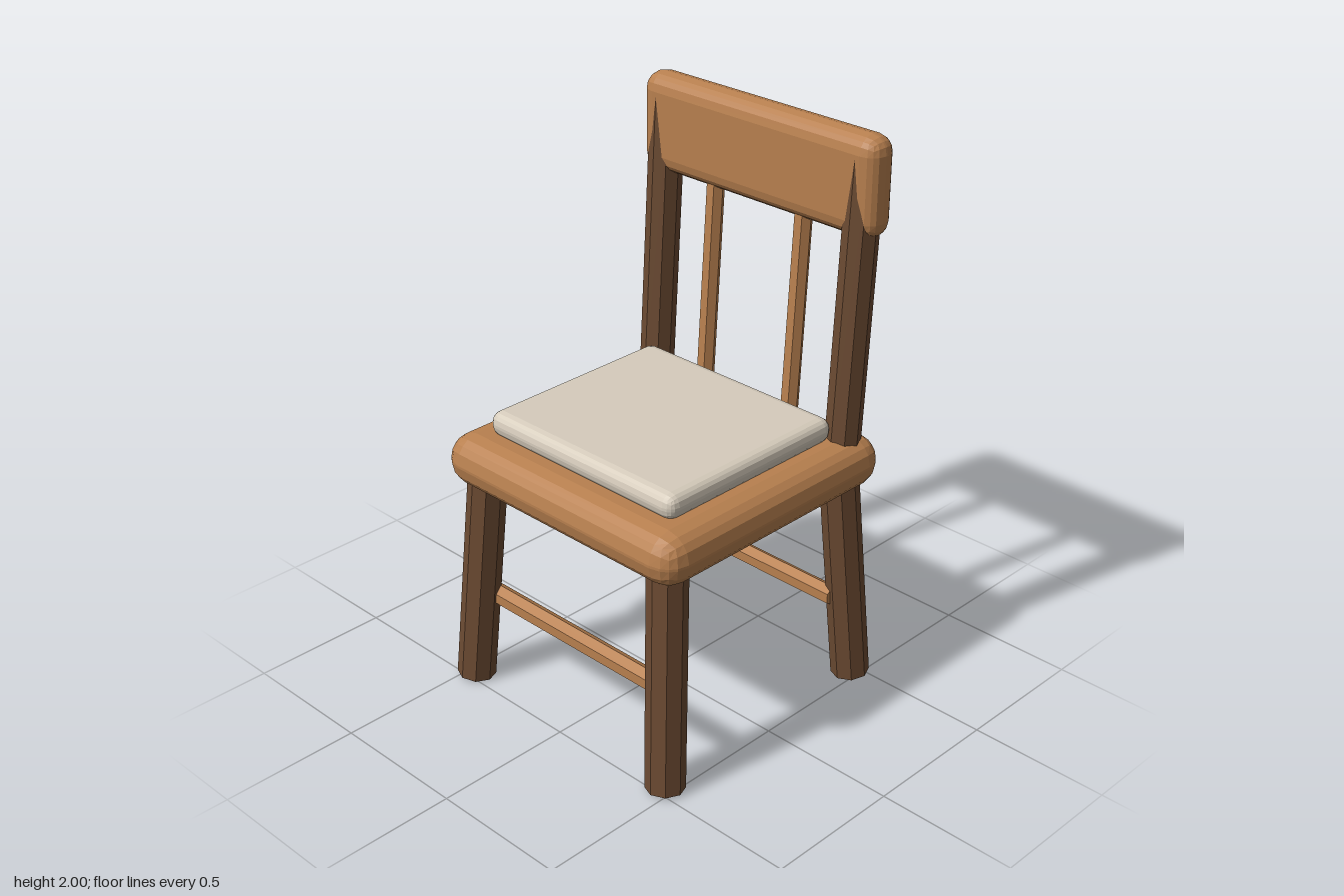
import * as THREE from 'three';
import { RoundedBoxGeometry } from 'three/addons/geometries/RoundedBoxGeometry.js';

const lightWood = new THREE.MeshStandardMaterial({ color: 0xb8804f });
lightWood.name = 'lightWood';
const darkWood = new THREE.MeshStandardMaterial({ color: 0x6b4a32 });
darkWood.name = 'darkWood';
const fabric = new THREE.MeshStandardMaterial({ color: 0xd6ccbc });
fabric.name = 'fabric';

// Faceted look: one normal per face
function faceted(geometry) {
  const flat = geometry.index ? geometry.toNonIndexed() : geometry;
  flat.computeVertexNormals();
  return flat;
}

// Softened slab given by its minimum and maximum corners
function slab(name, min, max, radius, material) {
  const size = max.map((v, i) => v - min[i]);
  const mesh = new THREE.Mesh(faceted(new RoundedBoxGeometry(...size, 2, radius)), material);
  mesh.position.set(...max.map((v, i) => (v + min[i]) / 2));
  mesh.name = name;
  return mesh;
}

// Straight faceted rod between two points
function rod(name, from, to, radius, sides, roll, material) {
  const a = new THREE.Vector3(...from);
  const b = new THREE.Vector3(...to);
  const axis = b.clone().sub(a);
  const geometry = new THREE.CylinderGeometry(radius, radius, axis.length(), sides);
  geometry.rotateY(roll);
  const mesh = new THREE.Mesh(faceted(geometry), material);
  mesh.position.copy(a).add(b).multiplyScalar(0.5);
  mesh.quaternion.setFromUnitVectors(new THREE.Vector3(0, 1, 0), axis.normalize());
  mesh.name = name;
  return mesh;
}

export function createModel() {
  const chair = new THREE.Group();
  chair.name = 'chair';

  // Seat, cushion and top rail
  chair.add(
    slab('seat', [-0.535, 0.77, -0.52], [0.535, 0.955, 0.52], 0.088, lightWood),
    slab('cushion', [-0.425, 0.945, -0.37], [0.425, 1.035, 0.4], 0.04, fabric),
    slab('topRail', [-0.51, 1.655, -0.531], [0.51, 2, -0.403], 0.06, lightWood)
  );

  for (const [side, s] of [['left', 1], ['right', -1]]) {
    // Splayed legs
    for (const [end, e] of [['Front', 1], ['Back', -1]]) {
      chair.add(rod(side + end + 'Leg', [s * 0.467, 0.007, e * 0.467],
        [s * 0.42, 0.85, e * 0.408], 0.068, 8, 0, darkWood));
    }
    // Back posts and spindles leaning backwards
    chair.add(
      rod(side + 'BackPost', [s * 0.433, 0.88, -0.405], [s * 0.433, 1.94, -0.465],
        0.061, 8, 0, darkWood),
      rod(side + 'Spindle', [s * 0.195, 0.9, -0.405], [s * 0.195, 1.75, -0.455],
        0.032, 6, Math.PI / 6, lightWood)
    );
  }

  // Stretchers joining each pair of legs
  for (const [end, e] of [['front', 1], ['back', -1]]) {
    chair.add(rod(end + 'Stretcher', [-0.43, 0.33, e * 0.4], [0.43, 0.33, e * 0.4],
      0.036, 6, Math.PI / 6, lightWood));
  }
  return chair;
}
